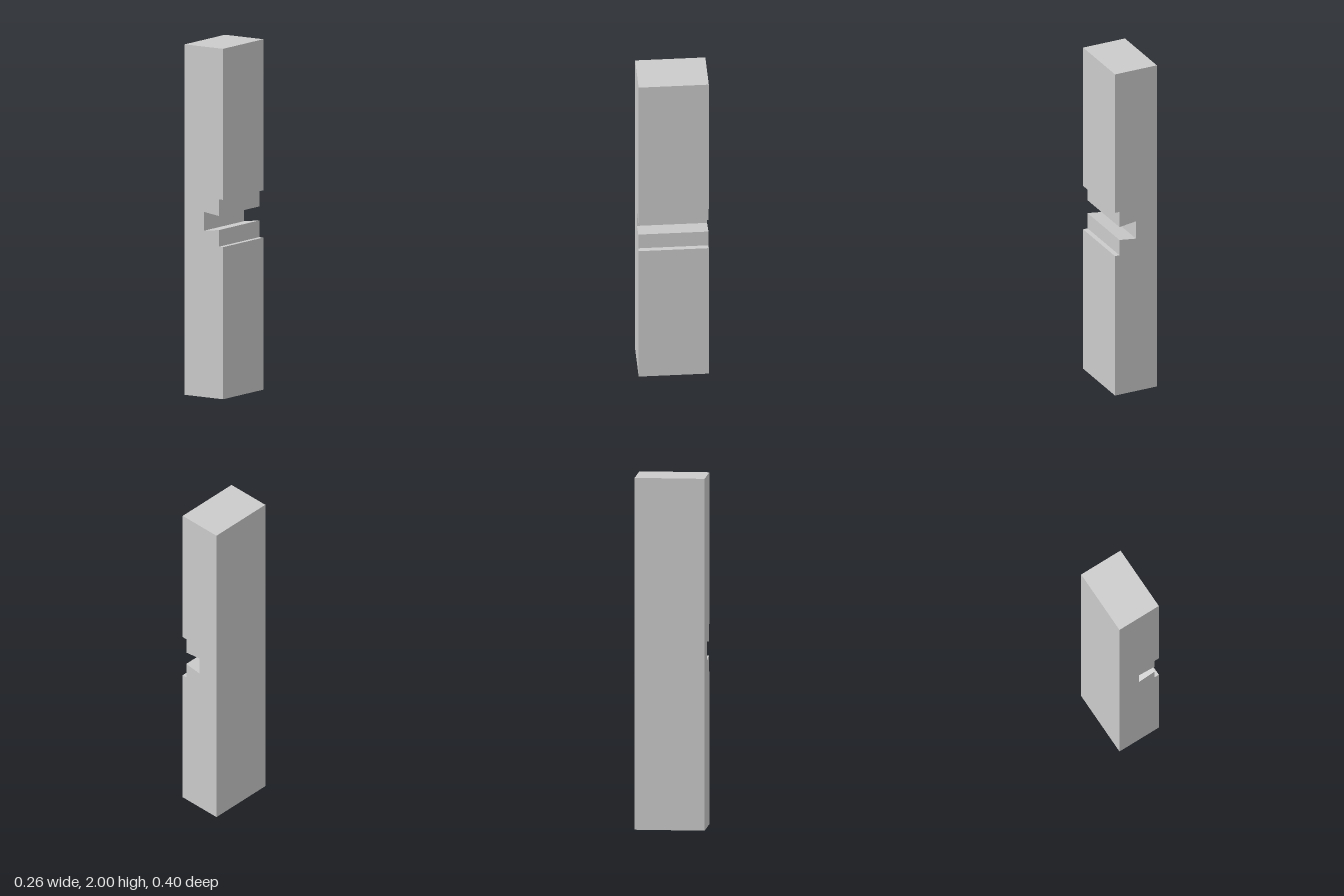
import * as THREE from 'three';

export function createModel() {
  const group = new THREE.Group();
  group.name = 'notchedPost';

  const halfWidth = 0.132, depth = 0.396, height = 2;
  const notchY = 1.003;

  // lower half of the dovetail notch: [x, distance from the notch centre line]
  const notch = [[halfWidth, 0.135], [0.104, 0.135], [0.104, 0.04], [0, 0.054]];
  const lower = notch.map(([x, d]) => new THREE.Vector2(x, notchY - d));
  const upper = notch.map(([x, d]) => new THREE.Vector2(x, notchY + d)).reverse();

  // post outline with the stepped dovetail cut into its +x side
  const outline = new THREE.Shape([
    new THREE.Vector2(-halfWidth, 0),
    new THREE.Vector2(halfWidth, 0),
    ...lower,
    ...upper,
    new THREE.Vector2(halfWidth, height),
    new THREE.Vector2(-halfWidth, height),
  ]);

  const geometry = new THREE.ExtrudeGeometry(outline, { depth, bevelEnabled: false });
  geometry.translate(0, 0, -depth / 2);

  const post = new THREE.Mesh(
    geometry,
    new THREE.MeshStandardMaterial({ color: 0xcccccc, flatShading: true })
  );
  post.name = 'post';
  group.add(post);
  return group;
}
